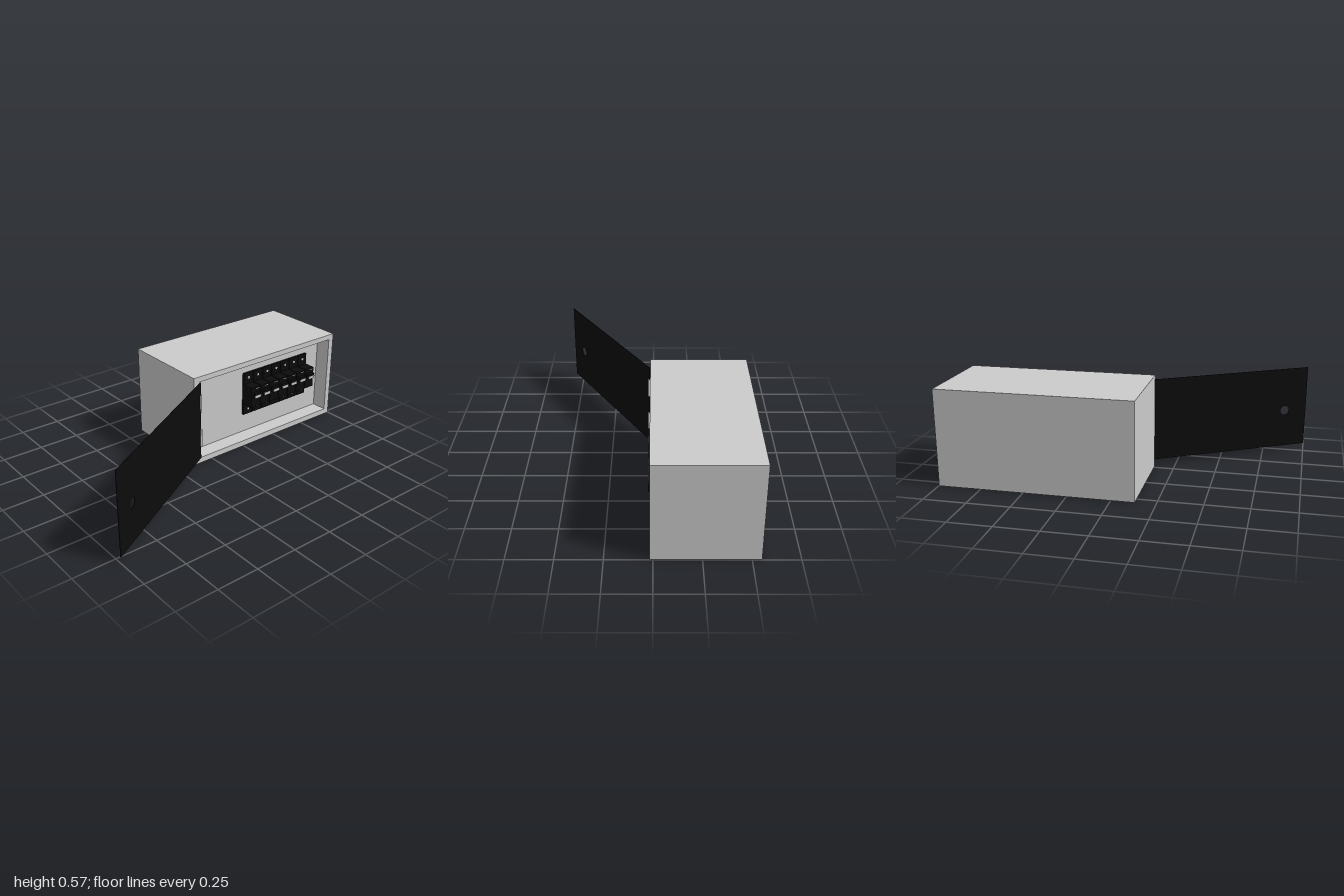
import * as THREE from 'three';

const grey = new THREE.MeshStandardMaterial({ color: 0xcccccc });
const black = new THREE.MeshStandardMaterial({ color: 0x0c0c0c });

function add(parent, name, geometry, material, x = 0, y = 0, z = 0) {
  const mesh = new THREE.Mesh(geometry, material);
  mesh.name = name;
  mesh.position.set(x, y, z);
  parent.add(mesh);
  return mesh;
}

function rectPath(PathType, x0, y0, x1, y1) {
  return new PathType([[x0, y0], [x1, y0], [x1, y1], [x0, y1]].map(p => new THREE.Vector2(...p)));
}

// Deep enclosure with a shallow recess in the front
function createEnclosure() {
  const group = new THREE.Group();
  group.name = 'enclosure';
  const outline = rectPath(THREE.Shape, -0.133, 0, 0.998, 0.567);
  outline.holes.push(rectPath(THREE.Path, -0.095, 0.036, 0.962, 0.534));
  const walls = new THREE.ExtrudeGeometry(outline, { depth: 0.567, bevelEnabled: false });
  add(group, 'walls', walls, grey, 0, 0, -0.55);
  add(group, 'mountingPanel', new THREE.BoxGeometry(1.057, 0.498, 0.467), grey, 0.4335, 0.285, -0.3165);
  return group;
}

// Thin door, swung open, with a round lock hole
function createDoor() {
  const group = new THREE.Group();
  group.name = 'door';
  const panel = rectPath(THREE.Shape, 0, 0.036, 1.052, 0.534);
  panel.holes.push(new THREE.Path().absarc(0.905, 0.267, 0.029, 0, Math.PI * 2, true));
  const geometry = new THREE.ExtrudeGeometry(panel, { depth: 0.003, bevelEnabled: false, curveSegments: 24 });
  geometry.translate(0, 0, -0.0015);
  add(group, 'doorPanel', geometry, black);
  group.position.set(-0.089, 0, 0.021);
  group.rotation.y = Math.PI * 7 / 6;
  return group;
}

// One circuit breaker: stepped body, toggle, marking and two terminal screws
function createBreaker() {
  const group = new THREE.Group();
  group.name = 'breaker';
  const width = 0.071;
  const profile = new THREE.Shape([
    [-0.09, 0.16], [-0.068, 0.16], [-0.068, 0.235], [0.003, 0.235],
    [0.003, 0.368], [-0.068, 0.368], [-0.068, 0.44], [-0.09, 0.44],
  ].map(p => new THREE.Vector2(...p)));
  const body = new THREE.ExtrudeGeometry(profile, { depth: width, bevelEnabled: false });
  body.translate(0, 0, -width / 2).rotateY(-Math.PI / 2);
  add(group, 'body', body, black);
  add(group, 'toggle', new THREE.BoxGeometry(0.05, 0.034, 0.024), black, 0, 0.319, 0.012);
  add(group, 'toggleGrip', new THREE.BoxGeometry(0.048, 0.018, 0.003), grey, 0, 0.313, 0.0245);
  add(group, 'marking', new THREE.BoxGeometry(0.026, 0.004, 0.002), grey, 0.014, 0.358, 0.0035);
  for (const y of [0.195, 0.41]) {
    const screw = new THREE.CylinderGeometry(0.008, 0.008, 0.004, 16).rotateX(Math.PI / 2);
    add(group, 'terminalScrew', screw, grey, 0, y, -0.067);
  }
  return group;
}

export function createModel() {
  const model = new THREE.Group();
  model.name = 'breakerBox';
  model.add(createEnclosure(), createDoor());

  // Hinge barrels
  for (const y of [0.175, 0.4]) {
    add(model, 'hinge', new THREE.CylinderGeometry(0.0075, 0.0075, 0.11, 16), grey, -0.091, y, 0.0255);
  }

  // Row of breakers
  for (let i = 0; i < 7; i++) {
    const breaker = createBreaker();
    breaker.position.x = 0.355 + i * 0.0765;
    model.add(breaker);
  }
  return model;
}
